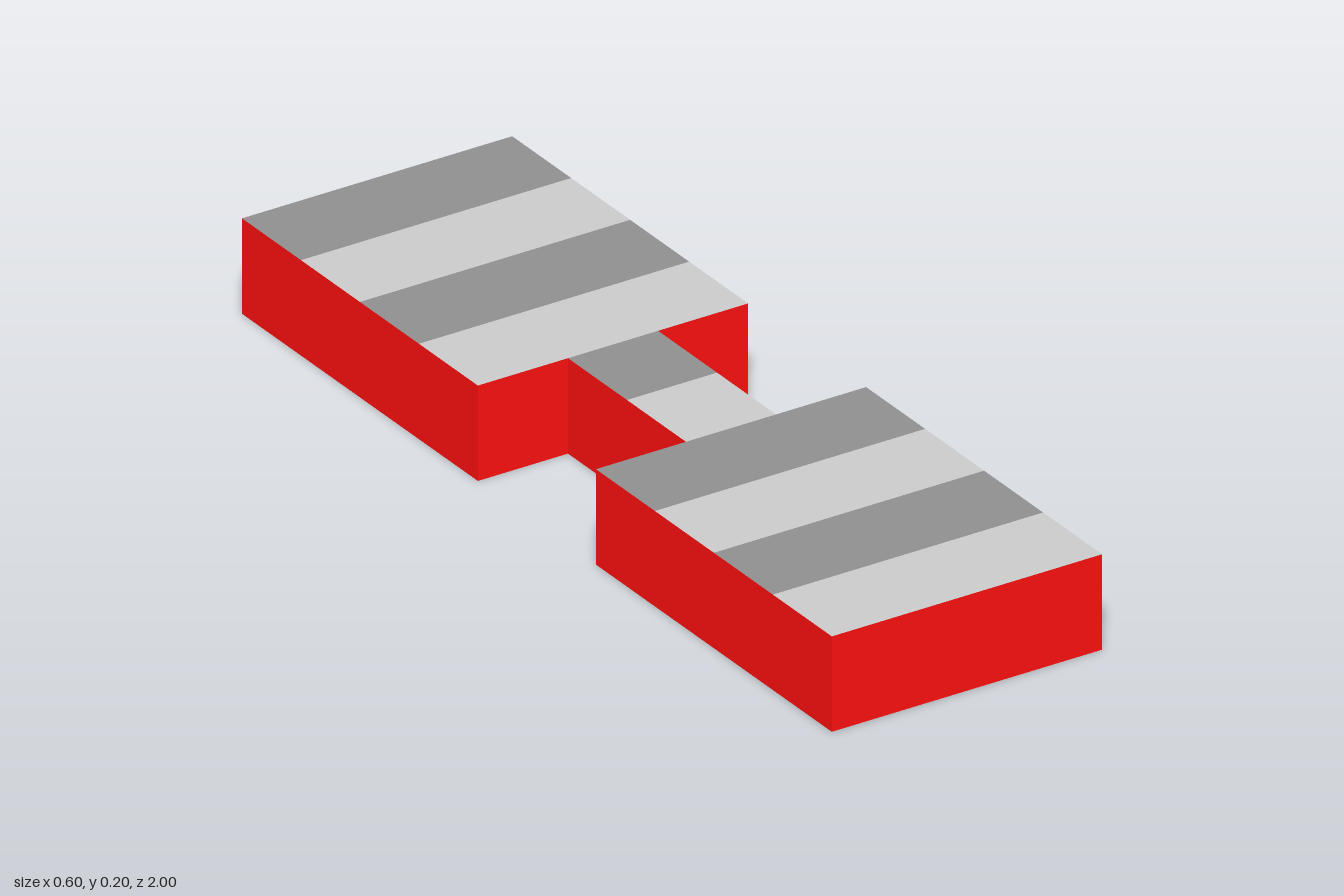
import * as THREE from 'three';
import { mergeGeometries } from 'three/addons/utils/BufferGeometryUtils.js';

const HEIGHT = 0.2;
const STRIPE = 0.2;

export function createModel() {
  const group = new THREE.Group();
  const add = (name, parts, color) => {
    const mesh = new THREE.Mesh(mergeGeometries(parts), new THREE.MeshStandardMaterial({ color }));
    mesh.name = name;
    group.add(mesh);
  };

  // Side walls: one upright panel per edge of the dumbbell outline (x, z)
  const half = [[0.3, 1], [0.3, 0.2], [0.1, 0.2], [0.1, -0.2], [0.3, -0.2], [0.3, -1]];
  const outline = [...half, ...half.map(([x, z]) => [-x, -z])];
  const walls = outline.map(([x0, z0], i) => {
    const [x1, z1] = outline[(i + 1) % outline.length];
    const dx = x1 - x0, dz = z1 - z0;
    return new THREE.PlaneGeometry(Math.hypot(dx, dz), HEIGHT)
      .rotateY(Math.atan2(-dz, dx))
      .translate((x0 + x1) / 2, HEIGHT / 2, (z0 + z1) / 2);
  });
  add('sideWalls', walls, 0xff1010);

  // Alternating stripes on the top and underside, narrow across the bridge
  const stripes = [[], []];
  for (let i = 0; i < 10; i++) {
    const z = -0.9 + i * STRIPE;
    const width = Math.abs(z) < 0.2 ? 0.2 : 0.6;
    const strip = () => new THREE.PlaneGeometry(width, STRIPE);
    stripes[i % 2].push(
      strip().rotateX(-Math.PI / 2).translate(0, HEIGHT, z),
      strip().rotateX(Math.PI / 2).translate(0, 0, z)
    );
  }
  add('darkStripes', stripes[0], 0x909090);
  add('lightStripes', stripes[1], 0xcccccc);

  return group;
}
